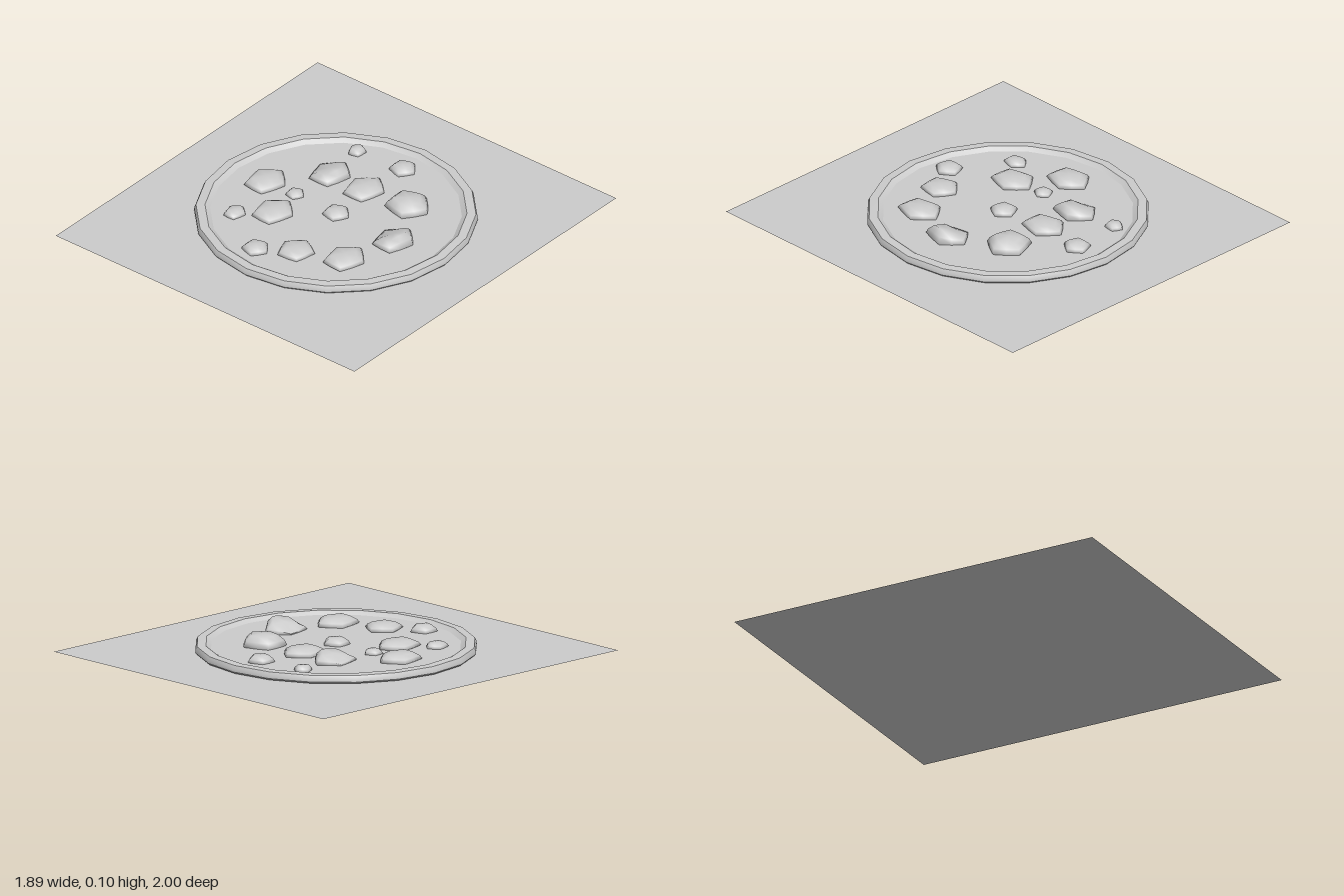
import * as THREE from 'three';
import { mergeVertices, toCreasedNormals } from 'three/addons/utils/BufferGeometryUtils.js';

const FLOOR = 0.03;

// Low pillow-shaped lump with a five-cornered outline; tilt lifts its +x side into a peak.
function lumpGeometry(sx, sz, height, turn, tilt) {
  const profile = [[0, -0.2], [0.85, -0.2], [1, 0.12], [0.9, 0.5], [0.62, 0.92], [0, 1]]
    .map(([r, y]) => new THREE.Vector2(r, y));
  let geo = new THREE.LatheGeometry(profile, 10);
  geo.deleteAttribute('uv');
  geo.deleteAttribute('normal');
  geo = mergeVertices(geo, 1e-4);
  const p = geo.attributes.position;
  for (let i = 0; i < p.count; i++) {
    const x = p.getX(i), y = p.getY(i), z = p.getZ(i);
    // Corners every 72 degrees, the first one pointing to -z.
    const k = 0.92 + 0.08 * Math.cos(5 * Math.atan2(x, -z));
    const a = x * k, b = z * k;
    const lift = y > 0.4 ? 1 + tilt * a * Math.max(0, 1.2 - Math.abs(b)) : 1;
    const u = a * Math.cos(turn) - b * Math.sin(turn);
    const v = a * Math.sin(turn) + b * Math.cos(turn);
    p.setXYZ(i, u * sx, y * height * lift, v * sz);
  }
  geo.computeVertexNormals();
  return geo;
}

export function createModel() {
  const group = new THREE.Group();
  const grey = new THREE.MeshStandardMaterial({ color: 0xcccccc });
  const thin = new THREE.MeshStandardMaterial({ color: 0xcccccc, side: THREE.DoubleSide });
  const add = (name, geo, mat = grey) => {
    const mesh = new THREE.Mesh(geo, mat);
    mesh.name = name;
    group.add(mesh);
    return mesh;
  };

  // Flat sheet underneath
  add('groundSheet', new THREE.PlaneGeometry(1.89, 2).rotateX(-Math.PI / 2), thin);

  // Round tray with a raised rim
  const tray = [[0, 0.005], [0.685, 0.005], [0.693, 0.014], [0.692, 0.028], [0.684, 0.045],
    [0.64, 0.047], [0.615, FLOOR], [0, FLOOR]].map(([r, y]) => new THREE.Vector2(r, y));
  add('tray', toCreasedNormals(new THREE.LatheGeometry(tray, 20), 0.5));

  // Lumps: x, z, half width, half depth, height, turn, tilt
  const lumps = [
    [-0.26, -0.475, 0.045, 0.05, 0.03, -0.2, 0],
    [0.015, -0.495, 0.07, 0.07, 0.035, 0.3, 0],
    [-0.23, -0.236, 0.1, 0.12, 0.042, 0, 0.75],
    [-0.015, -0.236, 0.1, 0.12, 0.038, 0, 0],
    [0.245, -0.255, 0.118, 0.112, 0.06, 0.25, 0],
    [-0.43, 0.015, 0.1, 0.12, 0.04, 0.08, 0],
    [-0.25, 0.01, 0.048, 0.048, 0.026, 0.2, 0],
    [0.015, 0.015, 0.07, 0.07, 0.034, 0.2, 0],
    [0.385, 0.022, 0.1, 0.12, 0.046, 0.06, 0.95],
    [-0.23, 0.2, 0.1, 0.12, 0.036, 0.06, 0],
    [-0.37, 0.325, 0.053, 0.064, 0.028, 0, 0],
    [0.305, 0.3, 0.1, 0.12, 0.04, 0.08, 0],
    [0.075, 0.395, 0.095, 0.1, 0.034, -0.1, 0],
    [-0.09, 0.505, 0.07, 0.07, 0.034, 0.3, 0],
  ];
  lumps.forEach(([x, z, sx, sz, h, turn, tilt], i) => {
    add(`lump${i + 1}`, lumpGeometry(sx, sz, h, turn, tilt)).position.set(x, FLOOR, z);
  });

  return group;
}
